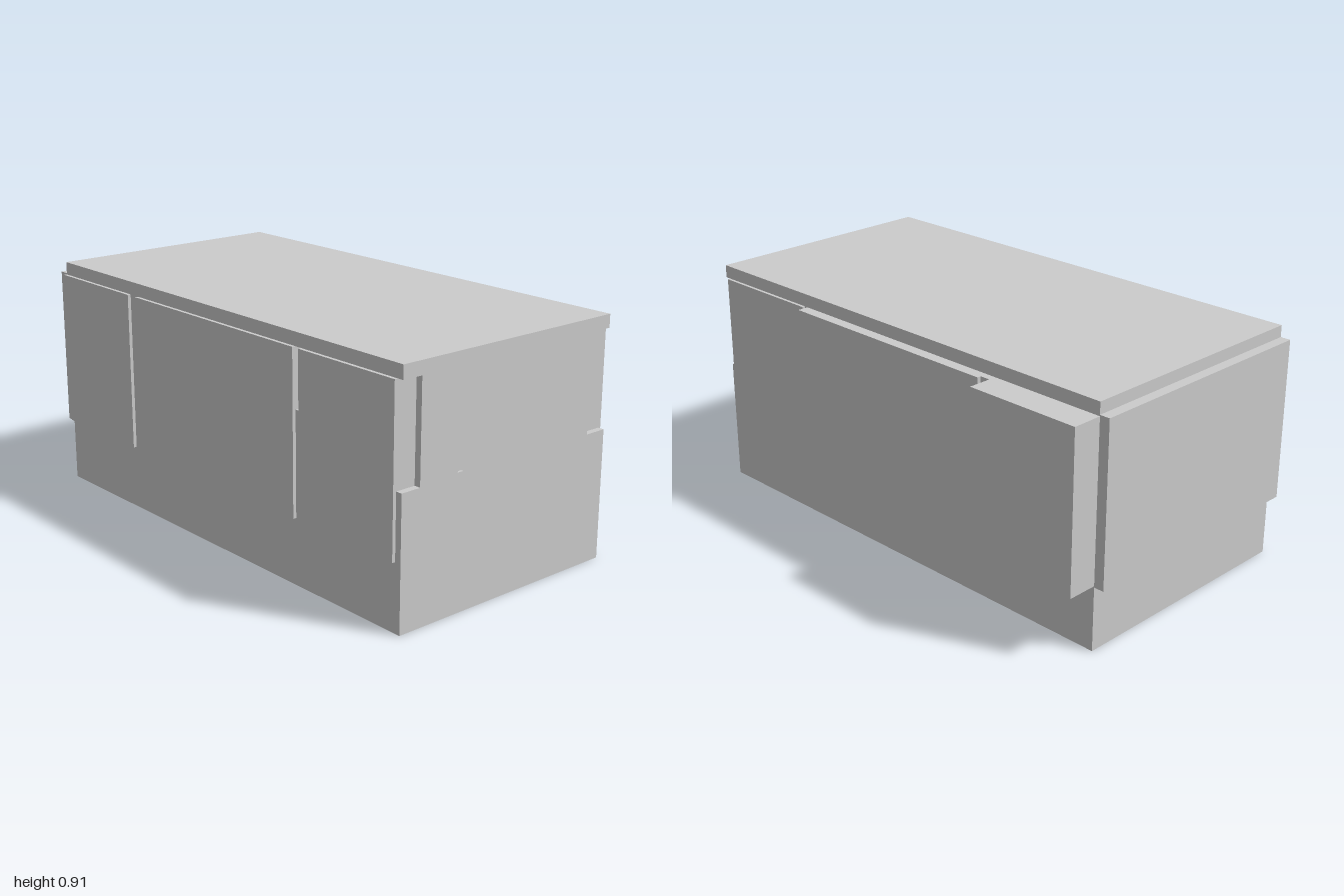
import * as THREE from 'three';

const material = new THREE.MeshStandardMaterial({ color: 0xcccccc, flatShading: true });

const FRONT = 0.54, BACK = -0.44, TOP = 0.91;
const PANEL_LOW = 0.25, PANEL_HIGH = 0.86;

export function createModel() {
  const group = new THREE.Group();

  const add = (name, geometry) => {
    const mesh = new THREE.Mesh(geometry, material);
    mesh.name = name;
    group.add(mesh);
  };

  // Box given by its limits on each axis
  const box = (name, [x0, x1], [y0, y1], [z0, z1]) => {
    const g = new THREE.BoxGeometry(x1 - x0, y1 - y0, z1 - z0);
    g.translate((x0 + x1) / 2, (y0 + y1) / 2, (z0 + z1) / 2);
    add(name, g);
  };

  // Slice of the body: a [z, y] outline extruded along x
  const toPoints = (pts) => pts.map(([z, y]) => new THREE.Vector2(-z, y));
  const slice = (name, x0, x1, outline, hole) => {
    const shape = new THREE.Shape(toPoints(outline));
    if (hole) shape.holes.push(new THREE.Path(toPoints(hole)));
    const g = new THREE.ExtrudeGeometry(shape, { depth: x1 - x0, bevelEnabled: false });
    g.rotateY(Math.PI / 2).translate(x0, 0, 0);
    add(name, g);
  };

  const frontNotch = (floor) => [
    [FRONT, 0], [FRONT, floor], [0.46, floor], [0.46, PANEL_HIGH], [FRONT, PANEL_HIGH], [FRONT, TOP],
  ];
  const backNotch = [
    [BACK, TOP], [BACK, PANEL_HIGH], [-0.35, PANEL_HIGH], [-0.35, 0.49], [BACK, 0.49], [BACK, 0],
  ];

  // Body, with a groove between two front panels and notched corners at the left end
  box('bodyMain', [-0.96, 0.48], [0, TOP], [BACK, FRONT]);
  slice('bodyGroove', 0.48, 0.51, [...frontNotch(0.64), [BACK, TOP], [BACK, 0]]);
  box('bodyEnd', [0.51, 0.975], [0, TOP], [BACK, FRONT]);
  slice('endPlate', 0.975, 1, [...frontNotch(0.49), ...backNotch],
    [[0.312, 0.465], [0.285, 0.515], [0.262, 0.515], [0.236, 0.465]]);

  // Small block inside the end plate's recess
  box('recessBlock', [0.975, 0.985], [0.465, 0.493], [0.25, 0.297]);

  // Front panels
  for (const [x0, x1] of [[-0.96, -0.5], [-0.45, 0.48], [0.51, 0.975]])
    box('frontPanel', [x0, x1], [PANEL_LOW, PANEL_HIGH], [FRONT, 0.553]);

  // Back panels, each of its own thickness
  for (const [x0, x1, z] of [[-0.96, -0.5, -0.557], [-0.46, 0.49, -0.483], [0.505, 0.975, -0.452]])
    box('backPanel', [x0, x1], [PANEL_LOW, PANEL_HIGH], [z, BACK]);
  box('backFiller', [-0.5, -0.46], [0.32, PANEL_HIGH], [-0.468, BACK]);

  // Full-width panel on the right end
  box('sidePanel', [-1, -0.96], [0.245, 0.865], [BACK, FRONT]);

  return group;
}
